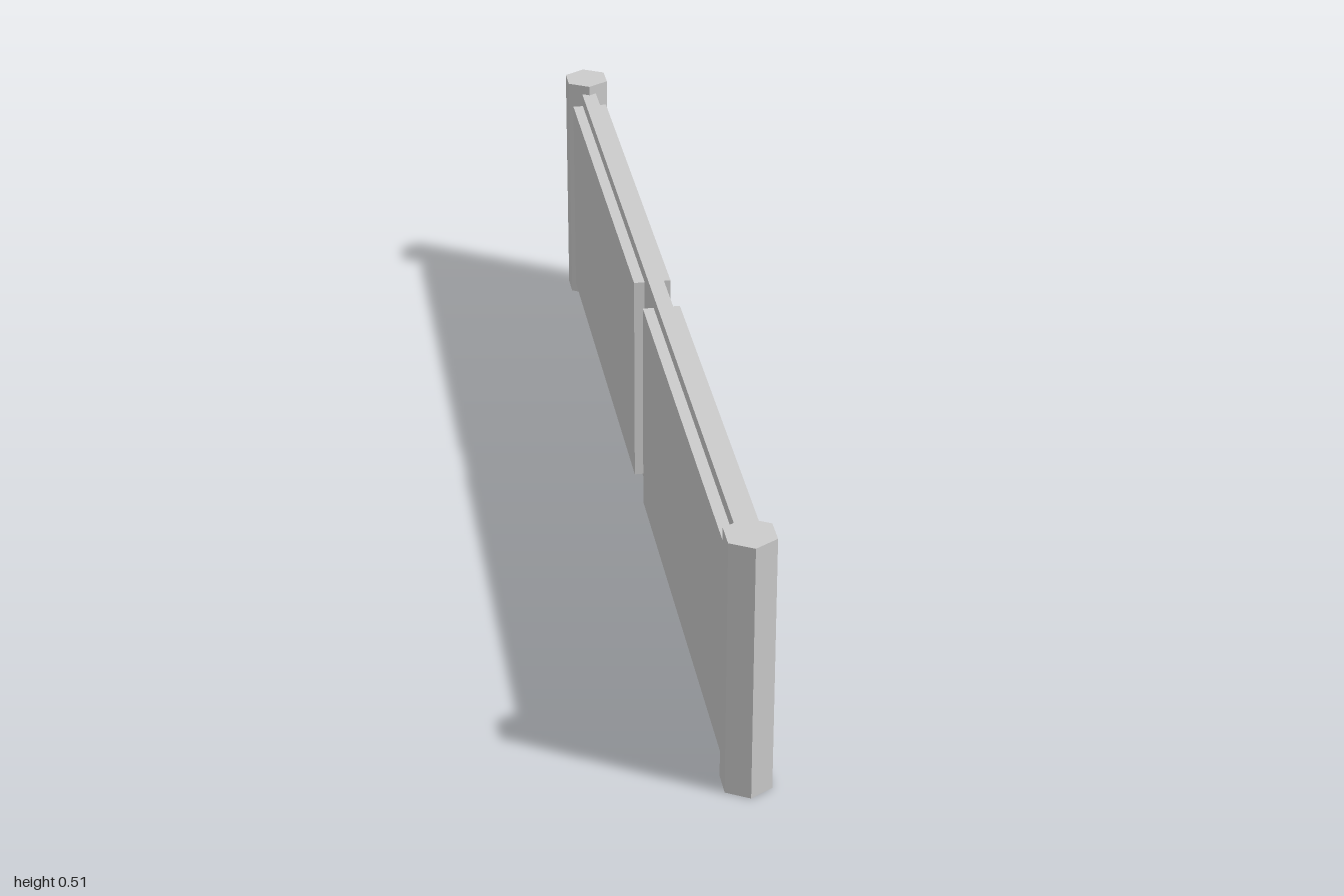
import * as THREE from 'three';

export function createModel() {
  const group = new THREE.Group();
  const material = new THREE.MeshStandardMaterial({ color: 0xcccccc, flatShading: true });

  const add = (name, geometry, x, y, z) => {
    const mesh = new THREE.Mesh(geometry, material);
    mesh.name = name;
    mesh.position.set(x, y, z);
    group.add(mesh);
  };

  // Thin core wall running between the posts
  add('coreWall', new THREE.BoxGeometry(0.03, 0.48, 1.82), 0, 0.25, 0);

  const post = new THREE.CylinderGeometry(0.0485, 0.0485, 0.51, 6);
  const panel = new THREE.BoxGeometry(0.022, 0.435, 0.85);

  for (const end of [1, -1]) {
    const endName = end > 0 ? 'front' : 'back';
    // Hexagonal end post, one corner pointing outward
    add(endName + 'Post', post, 0, 0.255, end * 0.9515);
    // Raised panels on both faces of the wall
    for (const side of [1, -1]) {
      add(endName + (side > 0 ? 'Left' : 'Right') + 'Panel', panel, side * 0.025, 0.2475, end * 0.479);
    }
  }
  return group;
}
